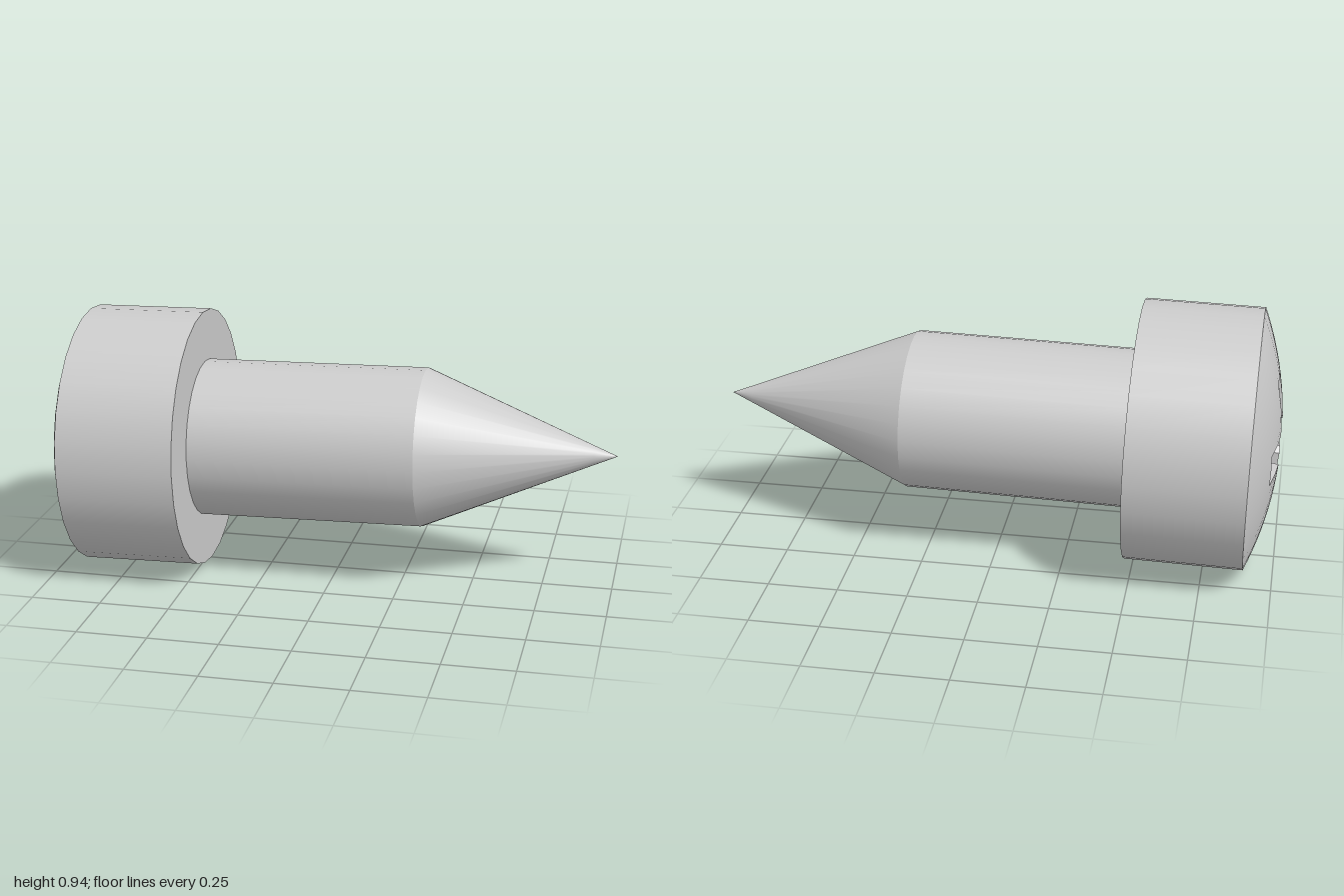
import * as THREE from 'three';
import { toCreasedNormals } from 'three/addons/utils/BufferGeometryUtils.js';

const SEGMENTS = 28;
const HEAD_R = 0.466, SHANK_R = 0.284, DOME_R = 1.19;
const DOME_BASE = -0.905, HEAD_FACE = -0.485, CONE_START = 0.32;

const domeX = (r) => -1 + DOME_R - Math.sqrt(DOME_R * DOME_R - r * r);

// Closed cross outline, seven points per quadrant, as [z, y] pairs
function crossOutline(length, halfWidth, bevel) {
  const w = halfWidth, mid = (length + w) / 2;
  const quarter = [[length, 0], [length, w], [mid, w], [w + bevel, w], [w, w + bevel], [w, mid], [w, length]];
  const points = [];
  for (let q = 0; q < 4; q++) {
    for (let [a, b] of quarter) {
      for (let k = 0; k < q; k++) [a, b] = [-b, a];
      points.push([a, b]);
    }
  }
  return points;
}

// Skin between rings of [x, y, z], innermost ring first, facing -x
function loft(rings, crease) {
  const n = rings[0].length, index = [];
  for (let j = 0; j < rings.length - 1; j++) {
    for (let i = 0; i < n; i++) {
      const a = j * n + i, b = j * n + (i + 1) % n;
      index.push(a, a + n, b + n, a, b + n, b);
    }
  }
  const geometry = new THREE.BufferGeometry();
  geometry.setAttribute('position', new THREE.Float32BufferAttribute(rings.flat(2), 3));
  geometry.setIndex(index);
  return toCreasedNormals(geometry, crease);
}

// Turned part about the x axis from [radius, x] pairs
function turned(profile) {
  const points = profile.map(([r, x]) => new THREE.Vector2(r, x));
  return new THREE.LatheGeometry(points, SEGMENTS).rotateZ(-Math.PI / 2);
}

export function createModel() {
  const model = new THREE.Group();
  model.name = 'screw';
  const material = new THREE.MeshStandardMaterial({ color: 0xcccccc });
  const add = (name, geometry) => {
    const mesh = new THREE.Mesh(geometry, material);
    mesh.name = name;
    model.add(mesh);
  };

  // Head side and its flat underside
  add('headSide', turned([[HEAD_R, DOME_BASE], [HEAD_R, HEAD_FACE]]));
  add('headUnderside', turned([[HEAD_R, HEAD_FACE], [SHANK_R, HEAD_FACE]]));

  // Plain shank and pointed end
  add('shank', turned([[SHANK_R, HEAD_FACE], [SHANK_R, CONE_START]]));
  add('cone', turned([[SHANK_R, CONE_START], [0.034, 0.918]]));
  add('tip', turned([[0.034, 0.918], [0, 1]]));

  // Domed head top, running from the cross opening out to the round rim
  const opening = crossOutline(0.245, 0.055, 0.02);
  const domeRings = [];
  const steps = 8;
  for (let j = 0; j <= steps; j++) {
    const t = j / steps;
    domeRings.push(opening.map(([z, y], i) => {
      const angle = (i / SEGMENTS) * Math.PI * 2;
      const pz = z + (HEAD_R * Math.cos(angle) - z) * t;
      const py = y + (HEAD_R * Math.sin(angle) - y) * t;
      return [domeX(Math.hypot(pz, py)), py, pz];
    }));
  }
  add('headDome', loft(domeRings, 0.5));

  // Cross recess tapering to a smaller floor
  const floorX = -0.8;
  const floor = crossOutline(0.12, 0.035, 0.015);
  add('crossRecess', loft([
    floor.map(() => [floorX, 0, 0]),
    floor.map(([z, y]) => [floorX, y, z]),
    domeRings[0],
  ], 0.5));

  // The screw lies with its point raised slightly
  model.rotation.z = 0.0185;
  model.position.y = 0.483;
  const group = new THREE.Group();
  group.add(model);
  return group;
}
